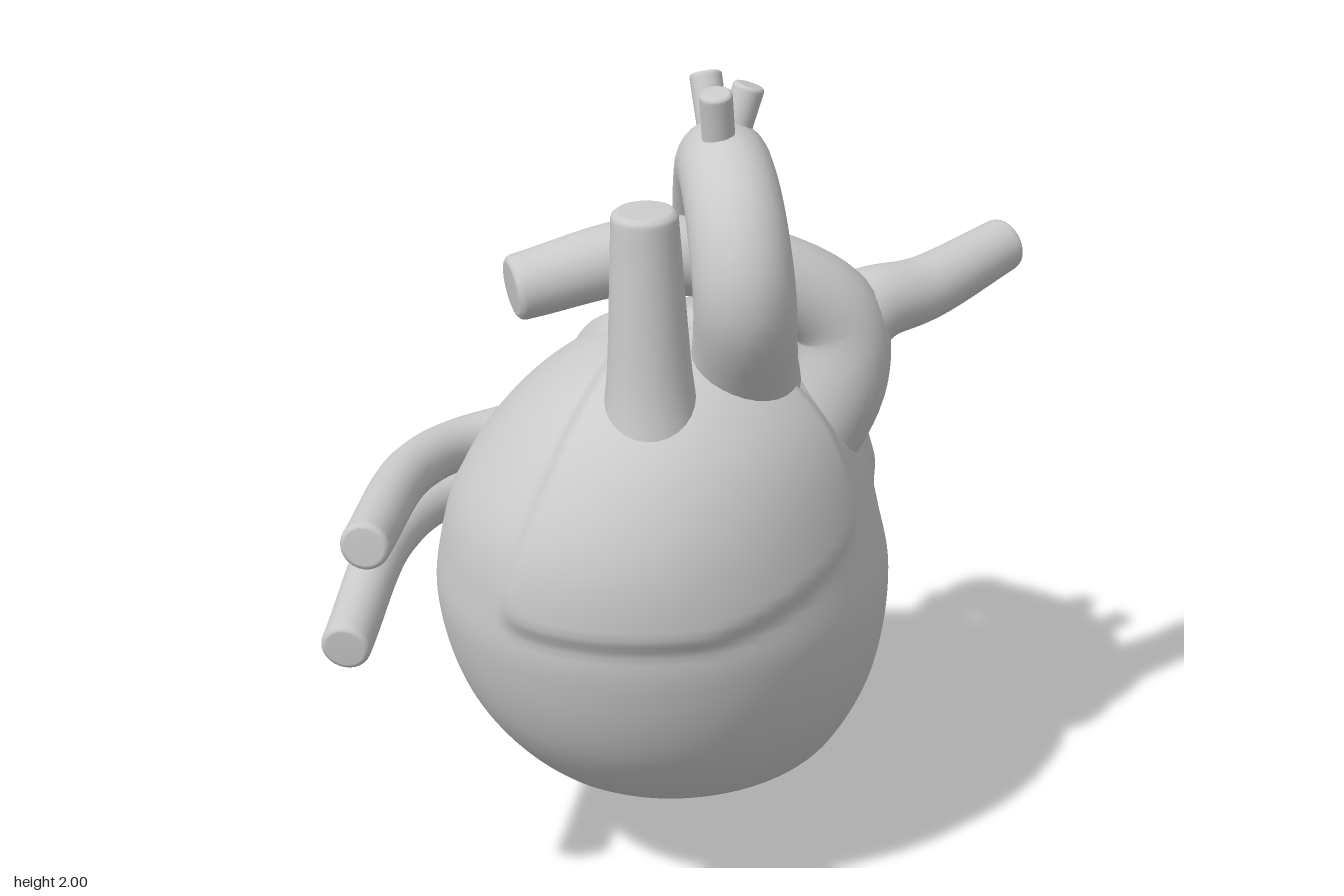
import * as THREE from 'three';

const V = (a) => new THREE.Vector3(...a);
const smooth = THREE.MathUtils.smoothstep;
const lerp = THREE.MathUtils.lerp;

// Minimum with rounded corners.
const softMin = (...d) => -0.03 * Math.log(d.reduce((sum, v) => sum + Math.exp(-v / 0.03), 0));

// Skin rows of points (closed rings) into one smooth surface.
function loft(rows) {
  const n = rows[0].length, pos = [], idx = [];
  rows.forEach((row) => row.forEach((p) => pos.push(p.x, p.y, p.z)));
  for (let i = 0; i < rows.length - 1; i++) {
    for (let j = 0; j < n; j++) {
      const a = i * n + j, b = i * n + (j + 1) % n;
      idx.push(a, b, a + n, b, b + n, a + n);
    }
  }
  const g = new THREE.BufferGeometry();
  g.setAttribute('position', new THREE.Float32BufferAttribute(pos, 3));
  g.setIndex(idx);
  g.computeVertexNormals();
  return g;
}

// Tapering vessel along a curve: flared root, softly bevelled end.
function vesselGeometry(points, rootRadius, tipRadius, flare) {
  const steps = 48, sides = 28;
  const curve = new THREE.CatmullRomCurve3(points.map(V));
  const frames = curve.computeFrenetFrames(steps), length = curve.getLength();
  const ring = (c, i, r) => Array.from({ length: sides }, (_, j) => {
    const a = (j / sides) * Math.PI * 2;
    return c.clone().addScaledVector(frames.normals[i], r * Math.cos(a))
      .addScaledVector(frames.binormals[i], r * Math.sin(a));
  });
  const rows = [];
  for (let i = 0; i <= steps; i++) {
    const t = i / steps;
    const r = lerp(rootRadius, tipRadius, t) + flare * Math.exp(-((t * length / 0.13) ** 2));
    rows.push(ring(curve.getPointAt(t), i, r));
  }
  for (const [out, k] of [[0.1, 0.97], [0.19, 0.86], [0.21, 0.78], [0.21, 0]]) {
    const c = curve.getPointAt(1).addScaledVector(frames.tangents[steps], out * tipRadius);
    rows.push(ring(c, steps, tipRadius * k));
  }
  return loft(rows);
}

// Main muscle: height, then x and z extents of each level.
const LEVELS = [
  [0.003, -0.03, -0.03, -0.43, -0.43],
  [0.015, -0.09, 0.03, -0.50, -0.35],
  [0.05, -0.155, 0.085, -0.56, -0.26],
  [0.1, -0.23, 0.155, -0.61, -0.16],
  [0.2, -0.365, 0.265, -0.655, 0.03],
  [0.3, -0.46, 0.34, -0.68, 0.26],
  [0.5, -0.57, 0.43, -0.705, 0.435],
  [0.75, -0.61, 0.465, -0.69, 0.525],
  [1.0, -0.56, 0.43, -0.63, 0.535],
  [1.2, -0.43, 0.36, -0.51, 0.45],
  [1.33, -0.28, 0.24, -0.35, 0.32],
  [1.4, -0.11, 0.09, -0.13, 0.13],
  [1.41, -0.01, -0.01, 0, 0],
];

function heartGeometry() {
  const xs = new THREE.CatmullRomCurve3(LEVELS.map(([y, a, b]) => V([a, y, b])));
  const zs = new THREE.CatmullRomCurve3(LEVELS.map(([y, , , a, b]) => V([a, y, b])));
  const rows = [], steps = 160, sides = 180;
  for (let i = 0; i <= steps; i++) {
    const p = xs.getPoint(i / steps), q = zs.getPoint(i / steps);
    rows.push(Array.from({ length: sides }, (_, j) => {
      const a = (j / sides) * Math.PI * 2;
      return V([(p.x + p.z) / 2 + (p.z - p.x) / 2 * Math.cos(a), p.y,
        (q.x + q.z) / 2 - (q.z - q.x) / 2 * Math.sin(a)]);
    }));
  }
  const g = loft(rows), pos = g.attributes.position, nor = g.attributes.normal;
  // Raise the front and back upper chambers above the lower muscle.
  for (let i = 0; i < pos.count; i++) {
    const x = pos.getX(i), y = pos.getY(i), z = pos.getZ(i);
    const front = softMin(y - 0.83 - 0.3 * Math.max(0, 0.45 - z), x + 0.28 - 0.3 * (y - 0.9), z + 0.01);
    const limit = -0.04 + 1.14 * Math.min(0, x + 0.2) - 0.6 * Math.max(0, x);
    const back = softMin(y - 0.92, x + 0.43, (limit - z) * 0.7);
    const d = 0.026 * smooth(front, -0.01, 0.05) + 0.022 * smooth(back, -0.01, 0.045)
      - 0.009 * smooth(y, 0.75, 0.9);
    pos.setXYZ(i, x + nor.getX(i) * d, y + nor.getY(i) * d, z + nor.getZ(i) * d);
  }
  g.computeVertexNormals();
  return g;
}

export function createModel() {
  const group = new THREE.Group();
  const material = new THREE.MeshStandardMaterial({ color: 0xcccccc });
  const add = (name, geometry) => {
    const mesh = new THREE.Mesh(geometry, material);
    mesh.name = name;
    group.add(mesh);
  };
  const vessel = (name, points, rootRadius, tipRadius, flare) =>
    add(name, vesselGeometry(points, rootRadius, tipRadius, flare));

  add('heartMuscle', heartGeometry());

  // Upright front column
  vessel('frontColumn', [[0.02, 1.2, 0.275], [0.01, 1.775, 0.29]], 0.105, 0.074, 0.02);

  // Great arch, rising in front and sloping down behind
  vessel('mainArch', [[0.13, 1.27, -0.03], [0.18, 1.41, 0.1], [0.205, 1.59, 0.19], [0.165, 1.74, 0.13],
    [0.1, 1.8, 0], [0.03, 1.73, -0.17], [-0.1, 1.4, -0.52]], 0.122, 0.09, 0.02);

  // Three small branches on top of the arch
  vessel('archBranchFront', [[0.1, 1.8, 0.03], [0.1, 1.988, 0.07]], 0.037, 0.037, 0);
  vessel('archBranchMiddle', [[0.09, 1.8, -0.03], [0.135, 1.972, -0.06]], 0.035, 0.036, 0);
  vessel('archBranchBack', [[0.07, 1.76, -0.06], [0.01, 1.965, -0.14]], 0.035, 0.037, 0);

  // Forked trunk passing under the arch
  vessel('sideTrunk', [[0.24, 1.06, -0.14], [0.34, 1.28, -0.14], [0.33, 1.42, -0.14], [0.19, 1.54, -0.06],
    [-0.05, 1.615, 0.1], [-0.29, 1.575, 0.28]], 0.122, 0.074, 0);
  vessel('sideTrunkBranch', [[0.3, 1.36, -0.13], [0.385, 1.425, -0.22], [0.48, 1.435, -0.34],
    [0.615, 1.475, -0.58]], 0.09, 0.065, 0.03);

  // Pair of side vessels, spreading apart as they curve forward
  const sidePath = [[-0.36, -0.1], [-0.53, 0.06], [-0.575, 0.25], [-0.5, 0.69]];
  for (const [name, side, shift, spread] of [
    ['upperSideVessel', 1, 0, 0.05], ['lowerSideVessel', -1, -0.04, 0.13]]) {
    vessel(name, sidePath.map(([x, z]) =>
      [x + shift, 1.01 + side * (0.055 + spread * Math.max(0, z)), z - shift]), 0.064, 0.056, 0.02);
  }

  // Pair of short stubs at the back
  for (const [name, k] of [['upperBackStub', 0], ['lowerBackStub', 1]]) {
    const shift = (x, y, z) => [x + 0.02 * k, y - 0.165 * k, z - 0.085 * k];
    vessel(name, [shift(-0.08, 1.13, -0.42), shift(-0.08, 1.26, -0.63)], 0.06, 0.055, 0.02);
  }
  return group;
}
